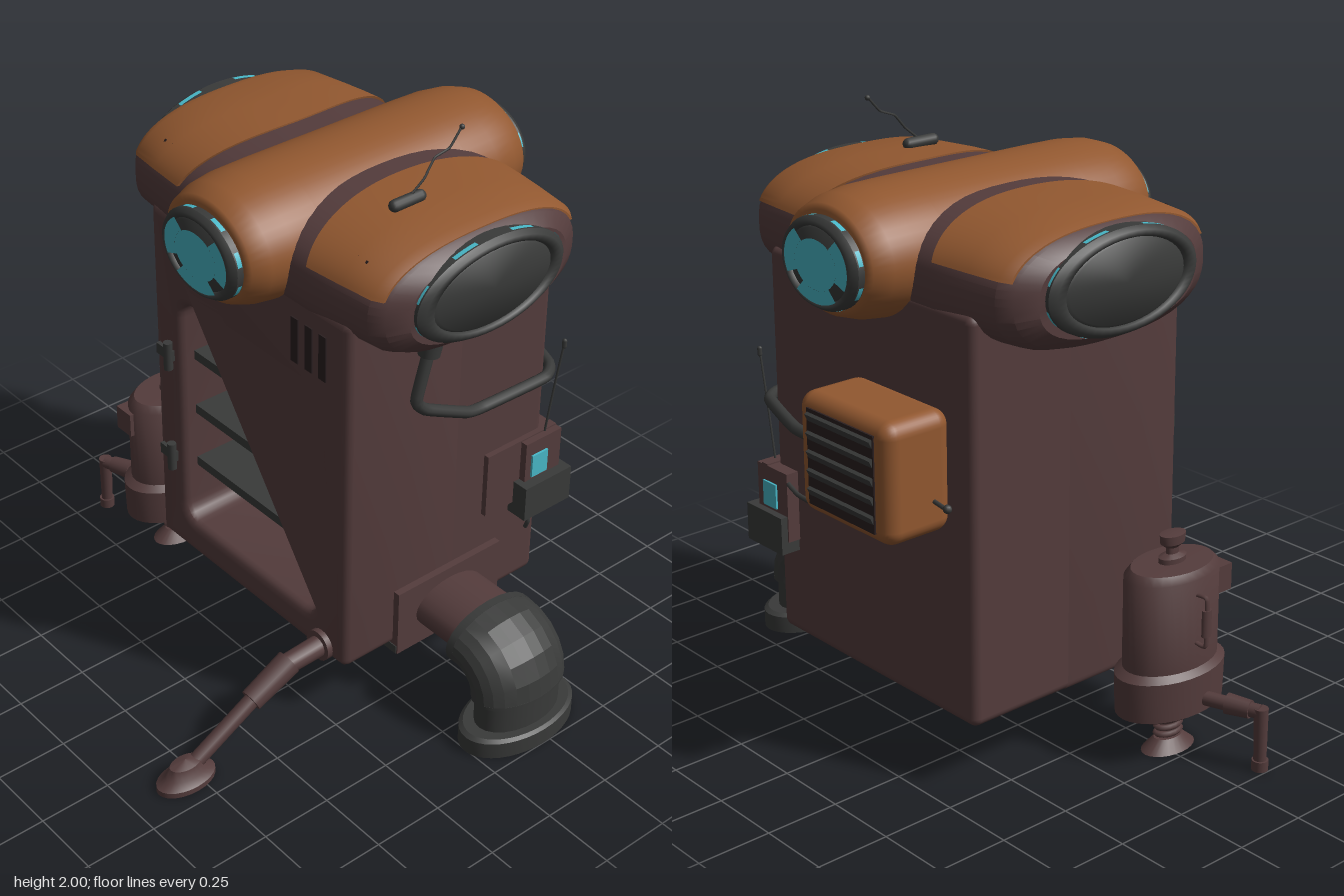
import * as THREE from 'three';
import { toCreasedNormals } from 'three/addons/utils/BufferGeometryUtils.js';
import { RoundedBoxGeometry } from 'three/addons/geometries/RoundedBoxGeometry.js';

const mat = (name, color, side = THREE.FrontSide) => {
  const m = new THREE.MeshStandardMaterial({ color, side });
  m.name = name;
  return m;
};
const brown = mat('dark brown metal', 0x543c3c);
const orange = mat('orange paint', 0x925830);
const orangeShell = mat('orange shell', 0x925830, THREE.DoubleSide);
const grey = mat('charcoal', 0x393a39);
const black = mat('vent black', 0x2a1f20);
const blue = mat('blue glow', 0x48b8c8, THREE.DoubleSide);

const V = (x, y, z) => new THREE.Vector3(x, y, z);
const P = (pts) => pts.map(([x, y]) => new THREE.Vector2(x, y));

function add(parent, name, geo, material, pos = [0, 0, 0], rot = [0, 0, 0], scale = [1, 1, 1]) {
  const m = new THREE.Mesh(geo, material);
  m.name = name;
  m.position.set(...pos);
  m.rotation.set(...rot);
  m.scale.set(...scale);
  parent.add(m);
  return m;
}
const box = (w, h, d) => new THREE.BoxGeometry(w, h, d);
const cyl = (r1, r2, h, n = 24) => new THREE.CylinderGeometry(r1, r2, h, n);
const lathe = (pts, n = 40) => toCreasedNormals(new THREE.LatheGeometry(P(pts), n), 0.6);
const tube = (pts, r, n = 8) => new THREE.TubeGeometry(
  new THREE.CatmullRomCurve3(pts.map((p) => V(...p)), false, 'catmullrom', 0.2), pts.length * 8, r, n);
// straight rod between two points
function rod(parent, name, a, b, r1, r2, material) {
  const A = V(...a), B = V(...b), d = B.clone().sub(A);
  const m = add(parent, name, cyl(r2, r1, d.length(), 16), material);
  m.position.copy(A).addScaledVector(d, 0.5);
  m.quaternion.setFromUnitVectors(V(0, 1, 0), d.normalize());
}
function roundRect(x0, y0, x1, y1, r, Type = THREE.Shape) {
  const s = new Type();
  s.moveTo(x0 + r, y0);
  s.lineTo(x1 - r, y0); s.quadraticCurveTo(x1, y0, x1, y0 + r);
  s.lineTo(x1, y1 - r); s.quadraticCurveTo(x1, y1, x1 - r, y1);
  s.lineTo(x0 + r, y1); s.quadraticCurveTo(x0, y1, x0, y1 - r);
  s.lineTo(x0, y0 + r); s.quadraticCurveTo(x0, y0, x0 + r, y0);
  return s;
}

// cross pod section: a squarish ellipse that shrinks towards the ends
const podProfile = [[0, 0], [0.32, 1], [0.57, 0.94], [0.615, 0.87], [0.65, 0.72]];
function podRadius(x) {
  if (x < 0.32) return 1;
  const i = podProfile.findIndex(([px]) => px >= x);
  const [x0, r0] = podProfile[i - 1], [x1, r1] = podProfile[i];
  return r0 + (r1 - r0) * (x - x0) / (x1 - x0);
}
function podGeometry(pts, phi0, phi1, xRule) {
  const g = new THREE.LatheGeometry(P(pts), 48, phi0, phi1 - phi0);
  const p = g.attributes.position, n = pts.length;
  for (let i = 0; i < p.count; i++) {
    const phi = phi0 + (phi1 - phi0) * Math.floor(i / n) / 48;
    const c = Math.cos(phi), s = Math.sin(phi);
    const f = Math.pow(Math.abs(c) ** 2.5 + Math.abs(s) ** 2.5, -0.4);
    let [r, x] = pts[i % n];
    if (xRule) { x = xRule(x, s); r *= podRadius(Math.abs(x)); }
    p.setXYZ(i, x, 1.6 + 0.203 * f * r * c, -0.205 + 0.442 * f * r * s);
  }
  g.computeVertexNormals();
  return toCreasedNormals(g, 0.5);
}

// round lamp or cover, facing local +z
function endCap(parent, name, rx, ry, pos, rotY, lit) {
  const g = new THREE.Group();
  g.name = name;
  g.position.set(...pos);
  g.rotation.y = rotY;
  g.scale.set(rx, ry, 1);
  parent.add(g);
  add(g, 'rim', lathe([[1, -0.04], [1, 0.018], [0.93, 0.035], [0.82, 0.035], [0.8, 0.024], [0.76, 0.03], [0, 0.036]], 48), grey, [0, 0, 0], [Math.PI / 2, 0, 0]);
  for (let i = 0; i < 8; i++) {
    add(g, 'rimLight', new THREE.CylinderGeometry(1.006, 1.006, 0.016, 6, 1, true, i * Math.PI / 4 + 0.2, 0.32), blue, [0, 0, 0.006], [Math.PI / 2, 0, 0]);
  }
  if (!lit) return;
  add(g, 'lampCentre', new THREE.CircleGeometry(0.55, 32), blue, [0, 0, 0.039]);
  for (const [a, l] of [[-25, 75], [130, 75], [232, 76]]) {
    add(g, 'lampArc', new THREE.RingGeometry(0.55, 0.84, 14, 1, a * Math.PI / 180, l * Math.PI / 180), blue, [0, 0, 0.039]);
  }
}

export function createModel() {
  const root = new THREE.Group();
  root.name = 'machine';
  const part = (name, pos = [0, 0, 0], scale = [1, 1, 1]) => {
    const g = new THREE.Group();
    g.name = name;
    g.position.set(...pos);
    g.scale.set(...scale);
    root.add(g);
    return g;
  };

  // cabinet with an open front
  const cabinet = part('cabinet');
  const front = roundRect(-0.49, 0.22, 0.5, 1.55, 0.03);
  front.holes.push(roundRect(-0.35, 0.35, 0.35, 1.23, 0.07, THREE.Path));
  const shell = new THREE.ExtrudeGeometry(front, { depth: 0.44, bevelThickness: 0.03, bevelSize: 0.035, bevelOffset: -0.035, bevelSegments: 3, curveSegments: 6 });
  add(cabinet, 'frontShell', toCreasedNormals(shell, 0.6), brown, [0, 0, -0.25]);
  add(cabinet, 'rearShell', new RoundedBoxGeometry(0.99, 1.33, 0.42, 3, 0.03), brown, [0.005, 0.885, -0.43]);
  for (const y of [1.0, 0.782, 0.565]) add(cabinet, 'shelf', box(0.7, 0.034, 0.38), grey, [0, y, -0.03]);
  for (const x of [0.253, 0.32, 0.385]) add(cabinet, 'ventSlot', box(0.034, 0.16, 0.008), black, [x, 1.385, 0.221]);
  for (const y of [0.595, 1.005]) {
    add(cabinet, 'hingePlate', box(0.08, 0.04, 0.02), grey, [-0.42, y, 0.225]);
    add(cabinet, 'hingePin', cyl(0.016, 0.016, 0.105, 12), grey, [-0.395, y, 0.235]);
  }
  add(cabinet, 'bottomPlate', box(0.28, 0.03, 0.46), grey, [0.38, 0.205, -0.22]);

  // cross pod with two painted panels
  const head = part('head');
  const half = podProfile.slice(1);
  const full = [[0, -0.65], ...half.slice().reverse().map(([x, r]) => [r, -x]), ...half.map(([x, r]) => [r, x]), [0, 0.65]];
  add(head, 'crossPod', podGeometry(full, 0, Math.PI * 2), brown);
  for (const side of [-1, 1]) {
    const us = [[0.99, 0], [1.025, 0.001], [1.025, 0.25], [1.025, 0.5], [1.025, 0.9], [1.02, 0.999], [0.98, 1]];
    const pts = us.map(([r, u]) => [r, u * side]);
    if (side < 0) pts.reverse();
    const rule = (u, s) => {
      const x0 = 0.23 + 0.1 * s * s;
      return side * (x0 + (0.605 - x0) * Math.abs(u));
    };
    add(head, 'roofPanel', podGeometry(pts, -1.2, 1.2, rule), orangeShell);
    for (let i = 0; i < 3; i++) add(head, 'panelNotch', box(0.008, 0.03, 0.05), black, [side * (0.41 + i * 0.04), 1.716, 0.147], [0.9, 0, 0]);
    endCap(head, 'sideCover', 0.3, 0.163, [side * 0.645, 1.61, -0.2], side * Math.PI / 2, false);
  }

  // long lamp tube
  const tubePts = [[0, -0.57], [0.75, -0.57], [0.84, -0.56], [0.94, -0.5], [0.99, -0.42], [1, -0.3]];
  const tubeAll = [...tubePts, ...tubePts.slice().reverse().map(([r, y]) => [r, -y])];
  add(head, 'lampTube', lathe(tubeAll, 48), orange, [0, 1.64, -0.21], [Math.PI / 2, 0, 0], [0.25, 1, 0.203]);
  endCap(head, 'frontLamp', 0.183, 0.143, [0, 1.635, 0.365], 0, true);
  endCap(head, 'rearLamp', 0.183, 0.143, [0, 1.635, -0.785], Math.PI, true);

  // roof aerial
  add(head, 'aerialBase', new THREE.CapsuleGeometry(0.02, 0.1, 4, 12), grey, [0.39, 1.815, -0.1], [Math.PI / 2, 0, 0]);
  add(head, 'aerialWire', tube([[0.39, 1.82, -0.1], [0.395, 1.87, -0.16], [0.385, 1.92, -0.21], [0.395, 1.94, -0.26], [0.39, 1.99, -0.31]], 0.004, 6), grey);
  add(head, 'aerialTip', new THREE.SphereGeometry(0.009, 10, 8), grey, [0.39, 1.991, -0.313]);

  // cooling unit on the back
  const cooler = part('coolingUnit', [-0.18, 1.055, -0.76]);
  add(cooler, 'casing', new RoundedBoxGeometry(0.44, 0.39, 0.25, 4, 0.05), orange);
  add(cooler, 'grille', box(0.32, 0.31, 0.012), black, [0, 0, -0.124]);
  for (let i = 0; i < 5; i++) add(cooler, 'slat', box(0.31, 0.045, 0.012), grey, [0, -0.12 + i * 0.06, -0.126], [-0.45, 0, 0]);
  add(cooler, 'sideHandle', tube([[-0.21, -0.08, 0.05], [-0.27, -0.08, 0.04], [-0.29, -0.08, 0.04]], 0.007), grey);
  add(cooler, 'handleKnob', new THREE.SphereGeometry(0.014, 10, 8), grey, [-0.29, -0.08, 0.04]);

  // pipe from the head to the cooling unit
  const pipe = part('sidePipe');
  rod(pipe, 'pipeSocket', [0.535, 1.45, -0.09], [0.535, 1.35, -0.075], 0.045, 0.035, grey);
  add(pipe, 'pipe', tube([[0.535, 1.38, -0.08], [0.535, 1.2, -0.03], [0.535, 1.15, -0.07], [0.535, 1.06, -0.25], [0.53, 1.045, -0.32], [0.53, 1.04, -0.6], [0.48, 1.04, -0.67], [0.22, 1.04, -0.76], [0.02, 1.04, -0.77]], 0.02, 10), grey);
  rod(pipe, 'pipeCollar', [0.1, 1.04, -0.768], [0.02, 1.04, -0.77], 0.032, 0.032, grey);

  // control box wrapped round the rear corner
  const control = part('controlBox');
  add(control, 'mountPlate', box(0.03, 0.24, 0.31), brown, [0.505, 0.695, -0.53]);
  add(control, 'cornerBlock', box(0.16, 0.24, 0.16), brown, [0.465, 0.69, -0.605]);
  add(control, 'tray', box(0.19, 0.13, 0.21), grey, [0.485, 0.595, -0.605]);
  add(control, 'sideScreen', box(0.008, 0.085, 0.07), blue, [0.549, 0.715, -0.585]);
  add(control, 'rearScreen', box(0.07, 0.085, 0.008), blue, [0.475, 0.715, -0.688]);
  add(control, 'whipAerial', tube([[0.52, 0.8, -0.63], [0.545, 1.0, -0.635], [0.57, 1.18, -0.64]], 0.004, 6), grey);
  add(control, 'whipTip', new THREE.CapsuleGeometry(0.008, 0.02, 3, 8), grey, [0.57, 1.175, -0.64]);
  add(control, 'cable', tube([[0.0, 0.87, -0.74], [0.1, 0.79, -0.73], [0.3, 0.77, -0.7], [0.45, 0.78, -0.66]], 0.008), grey);
  add(control, 'lowerCable', tube([[0.53, 0.54, -0.56], [0.54, 0.48, -0.56], [0.53, 0.45, -0.56]], 0.008), grey);

  // exhaust elbow
  const exhaust = part('exhaust', [0, 0, -0.22], [1, 1, 1.68]);
  add(exhaust, 'wallPlate', box(0.04, 0.25, 0.27), brown, [0.505, 0.315, 0]);
  add(exhaust, 'neck', cyl(0.087, 0.087, 0.24), brown, [0.61, 0.315, 0], [0, 0, Math.PI / 2]);
  add(exhaust, 'elbowCollar', cyl(0.11, 0.11, 0.03), grey, [0.725, 0.31, 0], [0, 0, Math.PI / 2]);
  add(exhaust, 'elbow', toCreasedNormals(new THREE.TorusGeometry(0.13, 0.11, 24, 5, Math.PI / 2), 0.25), grey, [0.735, 0.18, 0]);
  add(exhaust, 'downPipe', cyl(0.1, 0.1, 0.14), grey, [0.865, 0.12, 0]);
  add(exhaust, 'elbowLip', cyl(0.11, 0.11, 0.012), grey, [0.865, 0.18, 0]);
  add(exhaust, 'outlet', lathe([[0.1, 0.04], [0.1, 0], [0.135, 0], [0.135, 0.06], [0.125, 0.07], [0, 0.07]]), grey, [0.865, 0, 0]);
  add(exhaust, 'outletInside', cyl(0.101, 0.101, 0.008), brown, [0.865, 0.035, 0]);

  // front leg
  const leg = part('frontLeg');
  add(leg, 'legSocket', cyl(0.055, 0.055, 0.04, 20), brown, [0.39, 0.265, 0.22], [Math.PI / 2, 0, 0]);
  rod(leg, 'upperLeg', [0.39, 0.265, 0.18], [0.39, 0.255, 0.39], 0.038, 0.035, brown);
  rod(leg, 'kneeSleeve', [0.39, 0.262, 0.36], [0.39, 0.185, 0.52], 0.045, 0.04, brown);
  rod(leg, 'lowerLeg', [0.39, 0.2, 0.49], [0.39, 0.04, 0.78], 0.027, 0.027, brown);
  add(leg, 'foot', lathe([[0, 0], [0.066, 0], [0.066, 0.02], [0.045, 0.04], [0.035, 0.075], [0, 0.09]], 24), brown, [0.39, 0, 0.79], [0, 0, 0], [1, 1, 1.65]);

  // side tank on a spring foot
  const tank = part('tank', [-0.667, 0, 0.025], [1, 1, 1.55]);
  add(tank, 'tankBody', lathe([[0, 0.135], [0.09, 0.135], [0.132, 0.165], [0.135, 0.3], [0.116, 0.32], [0.116, 0.625], [0.1, 0.65], [0, 0.655]], 32), brown);
  add(tank, 'valve', lathe([[0.034, 0.64], [0.034, 0.67], [0.016, 0.68], [0.016, 0.7], [0.03, 0.715], [0.032, 0.745], [0, 0.75]], 16), brown);
  add(tank, 'gaugeBox', box(0.08, 0.09, 0.05), brown, [-0.035, 0.565, 0.1]);
  add(tank, 'handle', tube([[-0.1, 0.57, 0], [-0.155, 0.57, 0], [-0.155, 0.41, 0], [-0.1, 0.41, 0]], 0.006), brown);
  add(tank, 'handleGrip', cyl(0.012, 0.012, 0.09, 10), brown, [-0.155, 0.49, 0]);
  add(tank, 'footStem', cyl(0.024, 0.024, 0.13, 12), brown, [0, 0.09, 0]);
  for (let i = 0; i < 4; i++) add(tank, 'springCoil', new THREE.TorusGeometry(0.028, 0.01, 6, 16), brown, [0, 0.055 + i * 0.024, 0], [Math.PI / 2, 0, 0]);
  add(tank, 'foot', cyl(0.035, 0.066, 0.04), brown, [0, 0.02, 0]);

  // drain pipe from the tank
  const drain = part('drainPipe');
  rod(drain, 'drainArm', [-0.76, 0.205, 0.05], [-0.965, 0.2, 0.13], 0.024, 0.024, brown);
  rod(drain, 'drainCollar', [-0.86, 0.203, 0.09], [-0.935, 0.201, 0.118], 0.035, 0.03, brown);
  rod(drain, 'drainDown', [-0.968, 0.215, 0.13], [-0.972, 0, 0.13], 0.024, 0.02, brown);
  rod(drain, 'drainTip', [-0.972, 0.035, 0.13], [-0.972, 0, 0.13], 0.027, 0.027, brown);

  // hose under the cabinet
  const hose = part('hose');
  add(hose, 'hoseLine', tube([[-0.56, 0.185, 0.03], [-0.32, 0.182, 0.05], [-0.22, 0.148, 0.08], [-0.03, 0.145, 0.12], [0.1, 0.19, 0.15], [0.36, 0.24, 0.2]], 0.007), grey);
  add(hose, 'hoseJoint', new THREE.CapsuleGeometry(0.016, 0.08, 4, 10), brown, [-0.125, 0.146, 0.1], [0, -0.2, Math.PI / 2]);

  return root;
}
